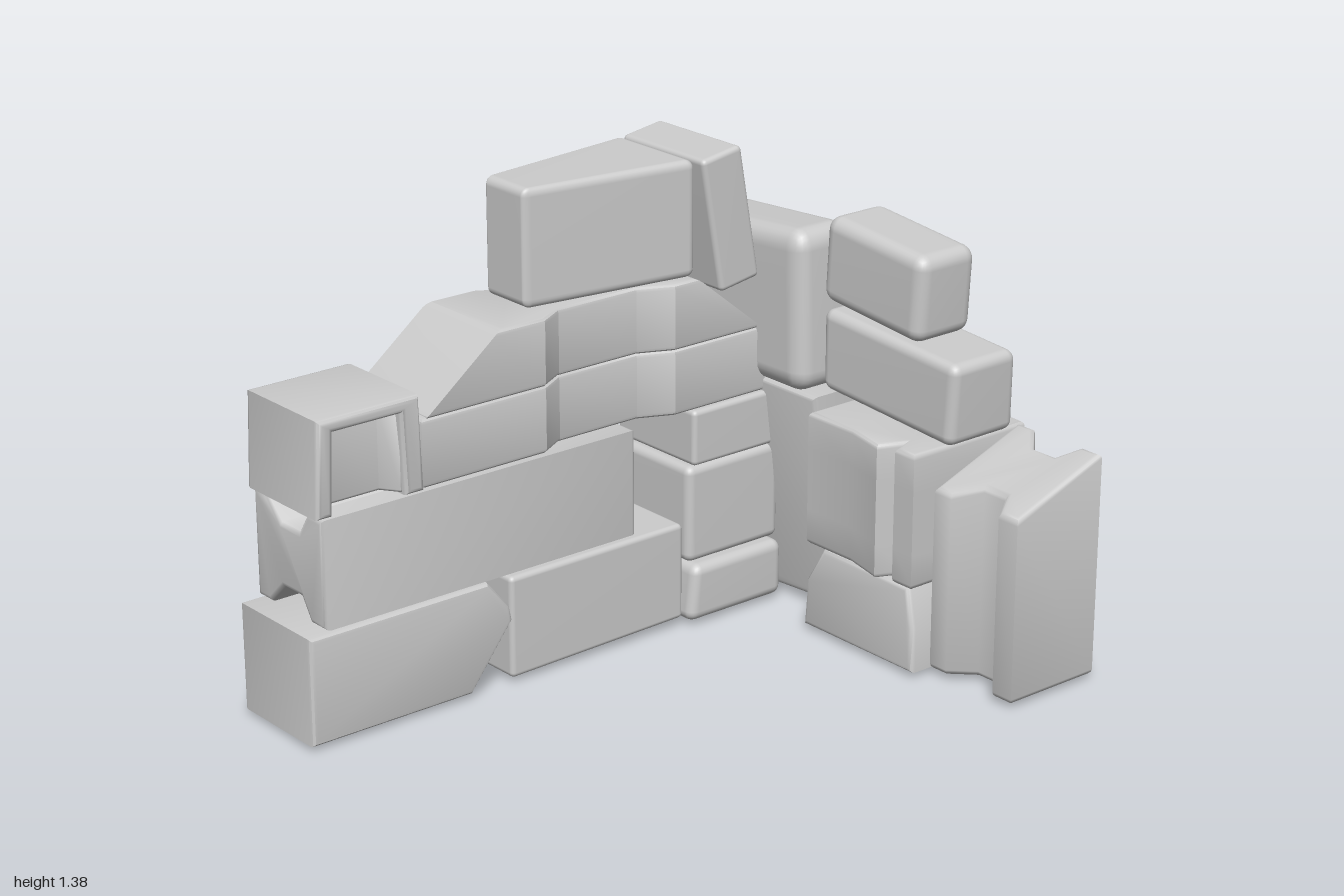
import * as THREE from 'three';
import { toCreasedNormals, mergeVertices } from 'three/addons/utils/BufferGeometryUtils.js';
import { RoundedBoxGeometry } from 'three/addons/geometries/RoundedBoxGeometry.js';

const material = new THREE.MeshStandardMaterial({ color: 0xcccccc });

// Moves every vertex by a rule that edits the point p
function bend(geo, rule) {
  const pos = geo.attributes.position, p = new THREE.Vector3();
  for (let i = 0; i < pos.count; i++) {
    rule(p.fromBufferAttribute(pos, i));
    pos.setXYZ(i, p.x, p.y, p.z);
  }
}

export function createModel() {
  const model = new THREE.Group();

  function add(name, geo) {
    const mesh = new THREE.Mesh(geo, material);
    mesh.name = name;
    model.add(mesh);
  }

  // Rounded block; the rule gets the point and its 0..1 place in the box
  function block(name, [x0, x1], [y0, y1], [z0, z1], rule, radius = 0.025) {
    const w = x1 - x0, h = y1 - y0, d = z1 - z0;
    let geo = new RoundedBoxGeometry(w, h, d, 3, radius);
    geo.translate((x0 + x1) / 2, (y0 + y1) / 2, (z0 + z1) / 2);
    if (rule) bend(geo, p => rule(p, (p.x - x0) / w, (p.y - y0) / h, (p.z - z0) / d));
    geo.deleteAttribute('normal');
    geo.deleteAttribute('uv');
    geo = mergeVertices(geo, 1e-5);
    geo.computeVertexNormals();
    add(name, geo);
  }

  // Bevelled outline drawn along an axis: z takes (x,y), y takes (x,z), x takes (z,y)
  function prism(name, pts, axis, from, to, rule, { bevel = 0.015, steps = 1, crease = 0.85 } = {}) {
    const shape = new THREE.Shape(pts.map(([a, b]) =>
      new THREE.Vector2(axis === 'x' ? -a : a, axis === 'y' ? -b : b)));
    const geo = new THREE.ExtrudeGeometry(shape, {
      depth: to - from - 2 * bevel, bevelThickness: bevel, bevelSize: bevel,
      bevelOffset: -bevel, bevelSegments: 3, steps,
    });
    geo.translate(0, 0, from + bevel);
    if (axis === 'y') geo.rotateX(-Math.PI / 2);
    if (axis === 'x') geo.rotateY(Math.PI / 2);
    if (rule) bend(geo, rule);
    add(name, toCreasedNormals(geo, crease));
  }

  // Outline of a beam with a groove in each of two opposite sides
  const grooved = (ca, cb, a, b) => {
    const right = [[1, -1], [1, -0.6], [0.6, -0.2], [0.6, 0.3], [1, 0.55], [1, 1]];
    return [...right, ...right.map(([u, v]) => [-u, v]).reverse()]
      .map(([u, v]) => [ca + u * a, cb + v * b]);
  };

  // Bottom course of the long wall
  prism('pointedFootStone', [[-1, 0.02], [-0.48, 0.02], [-0.34, 0.2], [-0.35, 0.25], [-0.42, 0.33], [-1, 0.33]],
    'z', -0.61, -0.28, p => { if (p.z < -0.45 && p.y < 0.1 && p.x > -0.6) p.x += 0.09; }, { crease: 0.45 });
  block('footStone', [-0.34, 0.27], [0.02, 0.32], [-0.6, -0.29], (p, u, v) => { p.y += 0.012 * u * (1 - v); }, 0.015);

  // Second course: long beam grooved above and below
  prism('groovedBeam', grooved(0, 0, 0.155, 0.16).map(([a, b]) => [b - 0.445, a + 0.492]), 'x', -0.945, 0.095);

  // Niche stone: arch frame around a core with splayed sides
  prism('nicheFrame', [[-0.96, 0.65], [-0.95, 0.92], [-0.63, 0.92], [-0.62, 0.65], [-0.68, 0.65],
    [-0.69, 0.88], [-0.9, 0.88], [-0.91, 0.65]], 'z', -0.61, -0.28);
  prism('nicheCore', [[-0.93, -0.3], [-0.905, -0.3], [-0.87, -0.35], [-0.72, -0.35], [-0.685, -0.3], [-0.65, -0.3],
    [-0.65, -0.59], [-0.685, -0.59], [-0.72, -0.54], [-0.87, -0.54], [-0.905, -0.59], [-0.93, -0.59]],
  'y', 0.655, 0.9, undefined, { bevel: 0.008 });

  // Two waisted lintels, the upper one sloped at its ends
  const waisted = (l, r) => [[l, -0.29], [-0.21, -0.29], [-0.13, -0.335], [0.14, -0.335], [0.24, -0.29], [r, -0.29],
    [r, -0.61], [0.24, -0.61], [0.14, -0.565], [-0.13, -0.565], [-0.21, -0.61], [l, -0.61]];
  prism('lowerLintel', waisted(-0.62, 0.57), 'y', 0.65, 0.845, undefined, { crease: 0.4 });
  prism('upperLintel', waisted(-0.61, 0.56), 'y', 0.84, 1.035, p => {
    const t = (p.y - 0.84) / 0.195;
    if (p.x < -0.4) p.x += 0.25 * t;
    if (p.x > 0.4) p.x -= 0.24 * t;
  }, { crease: 0.4 });

  // Cap stones
  block('capStone', [-0.21, 0.325], [1.035, 1.37], [-0.63, -0.3], (p, u) => {
    p.z = -0.465 + (p.z + 0.465) * (0.52 + 0.48 * u);
  }, 0.025);
  block('leaningStone', [0.325, 0.465], [0.98, 1.37], [-0.625, -0.275], (p, u, v) => {
    p.x += 0.07 * (1 - v);
    p.y += 0.022 * u;
  }, 0.015);

  // Small stones stacked beside the corner
  block('lowerCornerStone', [0.27, 0.62], [0.02, 0.19], [-0.65, -0.26], (p, u, v) => {
    p.x += 0.02 * v * (1 - u);
  }, 0.03);
  block('middleCornerStone', [0.28, 0.62], [0.195, 0.485], [-0.61, -0.28]);
  block('upperCornerStone', [0.3, 0.6], [0.485, 0.65], [-0.62, -0.28], undefined, 0.015);

  // Large leaning slab with a shallow pointed base, and the block on it
  prism('leaningSlab', [[-0.07, 0.03], [-0.43, 0.005], [-0.7, 0.025], [-0.7, 0.69], [-0.07, 0.69]], 'x', 0.56, 0.8, p => {
    const inner = (0.8 - p.x) / 0.24, down = (0.69 - p.y) / 0.67;
    p.x += 0.085 * down;
    if (p.z < -0.5) p.z += 0.05 * inner;
    if (p.y < 0.1) p.y += 0.015 * inner;
  }, { crease: 0.7 });
  block('shoulderBlock', [0.54, 0.795], [0.685, 1.14], [-0.645, -0.105], (p, u, v, w) => {
    p.x -= 0.035 * u * w + 0.02 * u * v;
    p.y += 0.045 * v * (w - 0.5);
    p.z += 0.03 * v * (0.5 - w);
  }, 0.06);

  // Tilted pair on the short arm
  block('upperArmStone', [0.61, 0.82], [0.92, 1.17], [-0.11, 0.28], (p, u, v, w) => {
    p.y += 0.038 * (1 - w);
    p.z += 0.015 * v;
  }, 0.04);
  block('lowerArmStone', [0.62, 0.868], [0.66, 0.898], [-0.11, 0.405], (p, u, v, w) => {
    p.y += 0.035 * (1 - w);
    p.x -= 0.012 * v * u;
    p.z += 0.015 * v * w;
  }, 0.03);

  // Ridged stone with a bowed ridge, standing on a tapered foot
  prism('ridgedStone', [[0.53, -0.06], [0.95, -0.06], [0.95, -0.015], [0.985, 0.01], [0.965, 0.085], [0.915, 0.085],
    [0.95, 0.12], [0.94, 0.375], [0.52, 0.375], [0.52, 0.3], [0.58, 0.28], [0.5, 0.25], [0.53, 0.12]],
  'y', 0.265, 0.66, p => { if (p.x > 0.955) p.x += 0.015 * (1 - ((p.y - 0.46) / 0.2) ** 2); }, { steps: 4 });
  prism('armFootStone', [[-0.06, 0.02], [0.385, 0.02], [0.38, 0.15], [0.34, 0.26], [-0.005, 0.26], [-0.055, 0.16]],
    'x', 0.52, 0.95, p => { p.x += (0.735 - p.x) * 0.1 * Math.max(0, (p.y - 0.12) / 0.14); });

  // Grooved end post with a slanted top
  prism('endPost', grooved(0.745, 0.545, 0.157, 0.157), 'y', 0.02, 0.67, p => {
    if (p.y > 0.4) p.y -= 0.115 * (0.9 - p.x) / 0.31;
  });

  return model;
}
